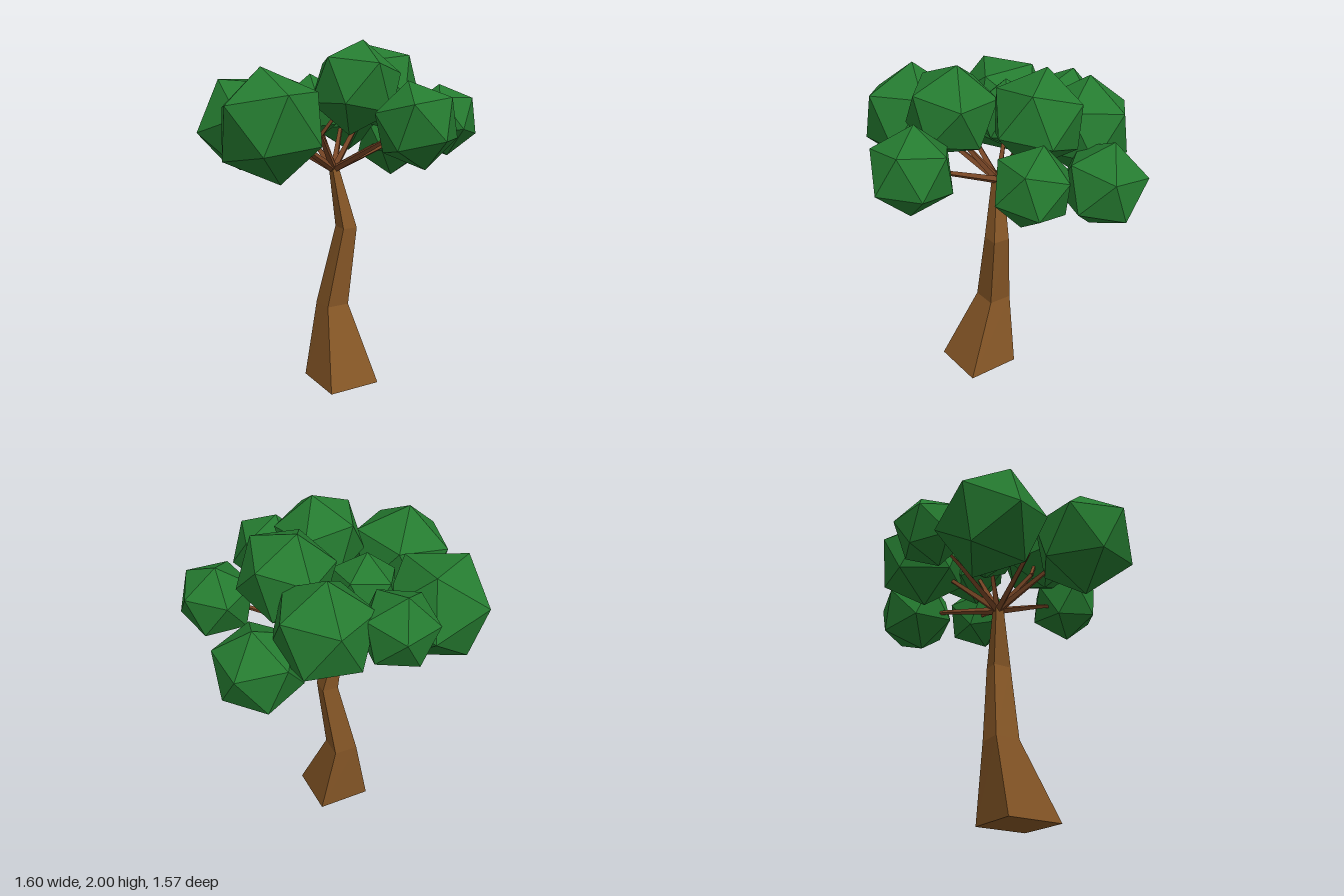
import * as THREE from 'three';

const bark = new THREE.MeshStandardMaterial({ color: 0x855626 });
const branchBark = new THREE.MeshStandardMaterial({ color: 0x7a4726 });
const leaf = new THREE.MeshStandardMaterial({ color: 0x257b30 });
const V = (x, y, z) => new THREE.Vector3(x, y, z);

// Flat-sided skin over rings of equal corner count (counter-clockwise from above), capped at both ends
function loft(rings) {
  const n = rings[0].length, pts = rings.flat(), index = [];
  for (let k = 0; k < rings.length - 1; k++) {
    for (let i = 0; i < n; i++) {
      const a = k * n + i, b = k * n + (i + 1) % n;
      index.push(a, b, b + n, a, b + n, a + n);
    }
  }
  const top = (rings.length - 1) * n;
  for (let i = 1; i < n - 1; i++) index.push(0, i + 1, i, top, top + i, top + i + 1);
  const indexed = new THREE.BufferGeometry().setFromPoints(pts);
  indexed.setIndex(index);
  const geo = indexed.toNonIndexed();
  geo.computeVertexNormals();
  return geo;
}

// Square trunk section, turned very slightly
const section = ([y, x0, x1, z0, z1, t]) => [
  V(x0, y, z1), V(x1 - t, y, z1), V(x1, y, z0 + t), V(x0 + t, y, z0)];

// Tapered four-sided stick between two points
function stick(a, b, r0, r1) {
  const geo = new THREE.CylinderGeometry(r1, r0, a.distanceTo(b), 4).toNonIndexed();
  geo.computeVertexNormals();
  const mesh = new THREE.Mesh(geo, branchBark);
  mesh.position.lerpVectors(a, b, 0.5);
  mesh.quaternion.setFromUnitVectors(V(0, 1, 0), b.clone().sub(a).normalize());
  return mesh;
}

// Right-handed frame from two neighbouring corner directions
function frame(a, b) {
  const u = a.clone().normalize();
  const v = b.clone().addScaledVector(u, -b.dot(u)).normalize();
  return new THREE.Matrix4().makeBasis(u, v, u.clone().cross(v));
}

// Icosahedron turned so one corner sits at offset (x0, z0) and its neighbour at (x1, z1), seen from above
function clump([cx, cy, cz, r, x0, z0, x1, z1]) {
  const y0 = Math.sqrt(r * r - x0 * x0 - z0 * z0);
  const y1 = (r * r / Math.sqrt(5) - x0 * x1 - z0 * z1) / y0;
  const t = (1 + Math.sqrt(5)) / 2;
  const turn = frame(V(x0, y0, z0), V(x1, y1, z1))
    .multiply(frame(V(-1, t, 0), V(1, t, 0)).invert());
  const geo = new THREE.IcosahedronGeometry(r, 0).applyMatrix4(turn);
  const mesh = new THREE.Mesh(geo, leaf);
  mesh.position.set(cx, cy, cz);
  return mesh;
}

// Centre, radius, top corner offset, neighbouring corner offset, optional branch elbow
const clumps = [
  [-0.41, 1.53, -0.41, 0.315, 0.12, -0.14, -0.19, 0, [-0.37, 1.47, -0.12]],
  [-0.05, 1.6, -0.59, 0.215, 0, -0.07, 0.08, -0.2],
  [0.285, 1.61, -0.44, 0.28, -0.01, -0.03, 0.04, -0.25],
  [0.575, 1.41, -0.31, 0.245, 0.035, -0.035, 0.19, -0.15],
  [-0.085, 1.62, -0.205, 0.2, -0.02, 0.005, 0.165, -0.115],
  [0.3, 1.74, -0.085, 0.265, -0.03, -0.08, 0.21, -0.11],
  [-0.54, 1.55, 0.15, 0.31, -0.035, -0.035, -0.263, 0.056],
  [-0.05, 1.745, 0.21, 0.26, 0.05, -0.01, 0.24, 0.1, [-0.18, 1.48, 0.05]],
  [0.585, 1.55, 0.185, 0.215, 0.01, -0.055, 0.19, -0.065],
  [0.1, 1.555, 0.555, 0.235, -0.03, -0.04, 0.22, -0.1],
];

export function createModel() {
  const tree = new THREE.Group();
  tree.name = 'tree';

  // Trunk: y, x range, z range, turn
  const trunk = new THREE.Mesh(loft([
    [0, -0.21, 0.13, -0.13, 0.21, 0.018],
    [0.45, -0.11, 0.042, -0.145, 0.005, 0.01],
    [0.92, -0.01, 0.095, -0.09, 0.02, 0.012],
    [1.28, -0.04, 0.008, -0.105, -0.055, 0.005],
  ].map(section)), bark);
  trunk.name = 'trunk';
  tree.add(trunk);

  // Branches and foliage
  const branches = new THREE.Group();
  branches.name = 'branches';
  const foliage = new THREE.Group();
  foliage.name = 'foliage';
  const fork = V(-0.015, 1.265, -0.08);
  clumps.forEach((c, i) => {
    const end = V(c[0], c[1], c[2]);
    const elbow = c[8] ? V(...c[8]) : fork.clone().lerp(end, 0.6).add(V(0, 0.01, 0));
    branches.add(stick(fork, elbow, 0.023, 0.014), stick(elbow, end, 0.014, 0.008));
    const ball = clump(c);
    ball.name = `leafClump${i + 1}`;
    foliage.add(ball);
  });
  branches.children.forEach((b, i) => { b.name = `branch${i + 1}`; });
  tree.add(branches, foliage);
  return tree;
}
